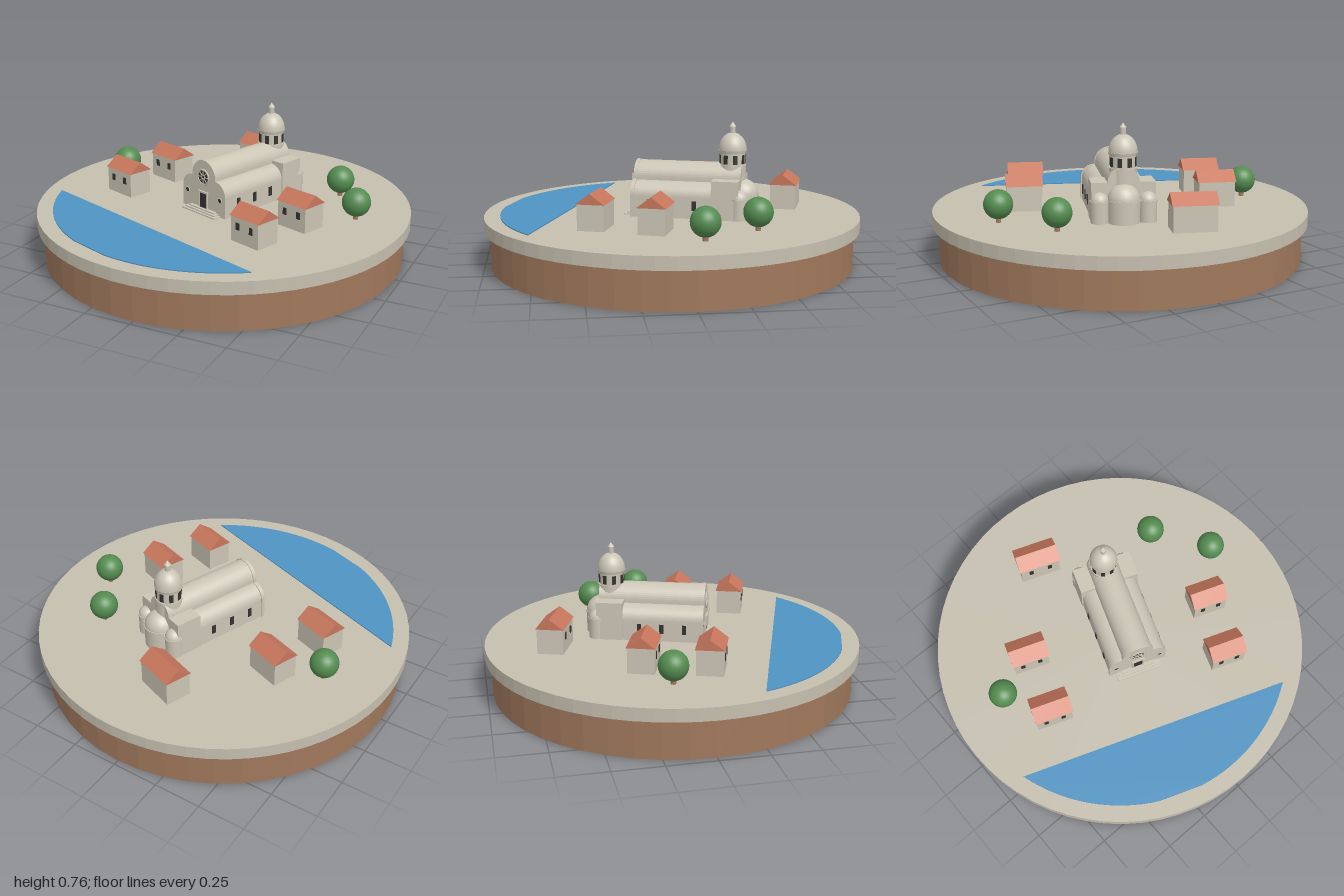
import * as THREE from 'three';

const mat = (name, color, side = THREE.FrontSide) => {
  const m = new THREE.MeshStandardMaterial({ color, side });
  m.name = name;
  return m;
};

export function createModel() {
  const earth = mat('earth', 0xa0785c);
  const ground = mat('paving', 0xc5bfaf);
  const stone = mat('stone', 0xcbc5b5);
  const water = mat('water', 0x4f93c2);
  const tile = mat('roof tile', 0xc8775c);
  const leaf = mat('foliage', 0x548c50);
  const dark = mat('dark opening', 0x34332f);

  const G = 0.267; // ground level
  const model = new THREE.Group();
  model.name = 'islandTown';

  const add = (parent, name, geo, material, x = 0, y = 0, z = 0) => {
    const m = new THREE.Mesh(geo, material);
    m.name = name;
    m.position.set(x, y, z);
    parent.add(m);
    return m;
  };
  const box = (w, h, d) => new THREE.BoxGeometry(w, h, d);
  const cyl = (rt, rb, h, n = 24) => new THREE.CylinderGeometry(rt, rb, h, n);
  const flat = (geo) => {
    const g = geo.toNonIndexed();
    g.computeVertexNormals();
    return g;
  };
  const extrude = (shape, depth) =>
    new THREE.ExtrudeGeometry(shape, { depth, bevelEnabled: false, curveSegments: 12 });

  // Round island
  add(model, 'earthBase', flat(cyl(0.97, 0.97, 0.2, 48)), earth, 0, 0.1, 0);
  add(model, 'groundSlab', flat(cyl(1, 1, G - 0.2, 64)), ground, 0, (G + 0.2) / 2, 0);

  // The whole town is turned on the island
  const town = new THREE.Group();
  town.name = 'town';
  town.rotation.y = -THREE.MathUtils.degToRad(20);
  model.add(town);

  // Lagoon: circle segment made of two arcs
  const pts = [];
  const a0 = Math.asin(0.54 / 0.915), a1 = THREE.MathUtils.degToRad(82.5);
  for (let i = 0; i <= 16; i++) {
    const a = a0 + (a1 - a0) * i / 16;
    pts.push(new THREE.Vector2(0.915 * Math.cos(a), -0.915 * Math.sin(a)));
  }
  for (let i = 16; i >= 0; i--) pts.push(new THREE.Vector2(-pts[i].x, pts[i].y));
  const lagoon = extrude(new THREE.Shape(pts), 0.006);
  lagoon.rotateX(-Math.PI / 2);
  add(town, 'lagoon', lagoon, water, 0, G - 0.001, 0);

  // Church
  const church = new THREE.Group();
  church.name = 'church';
  church.position.x = 0.035;
  town.add(church);

  // Cross-section: round nave between two quarter-round aisles
  const section = (half, r, grow) => {
    const s = new THREE.Shape();
    const aisle = half - r, spring = 0.377 + grow;
    s.moveTo(-half, G);
    s.lineTo(half, G);
    s.lineTo(half, spring);
    s.absarc(r, spring, aisle, 0, Math.PI / 2, false);
    s.lineTo(r, 0.465);
    s.absarc(0, 0.465, r, 0, Math.PI, false);
    s.lineTo(-r, spring + aisle);
    s.absarc(-r, spring, aisle, Math.PI / 2, Math.PI, false);
    s.lineTo(-half, G);
    return s;
  };
  add(church, 'naveAndAisles', extrude(section(0.156, 0.082, 0), 0.555), stone, 0, 0, -0.39);
  add(church, 'facade', extrude(section(0.161, 0.086, 0.003), 0.02), stone, 0, 0, 0.16);
  add(church, 'transept', box(0.326, 0.47 - G, 0.14), stone, 0, (0.47 + G) / 2, -0.32);

  // Entrance steps
  for (let i = 0; i < 3; i++) {
    const d = 0.045 - i * 0.013;
    add(church, 'step', box(0.25 - i * 0.03, 0.007, d), stone, 0, G + 0.0035 + i * 0.007, 0.18 + d / 2);
  }

  // Door with surround
  add(church, 'door', box(0.05, 0.085, 0.006), dark, 0, 0.328, 0.181);
  for (const s of [-1, 1]) add(church, 'doorJamb', box(0.008, 0.092, 0.01), stone, s * 0.029, 0.331, 0.183);
  add(church, 'doorLintel', box(0.074, 0.009, 0.013), stone, 0, 0.376, 0.184);

  // Rose window with spokes, and two small round windows
  const disc = (r) => cyl(r, r, 0.006, 24).rotateX(Math.PI / 2);
  add(church, 'roseWindow', disc(0.04), dark, 0, 0.46, 0.181);
  add(church, 'roseRim', new THREE.TorusGeometry(0.04, 0.005, 6, 28), stone, 0, 0.46, 0.183);
  add(church, 'roseHub', new THREE.TorusGeometry(0.011, 0.003, 6, 16), stone, 0, 0.46, 0.184);
  for (let i = 0; i < 8; i++) {
    const a = i * Math.PI / 4;
    const spoke = add(church, 'roseSpoke', box(0.028, 0.004, 0.006), stone,
      Math.cos(a) * 0.025, 0.46 + Math.sin(a) * 0.025, 0.184);
    spoke.rotation.z = a;
  }
  for (const s of [-1, 1]) {
    add(church, 'roundWindow', disc(0.014), dark, s * 0.123, 0.36, 0.181);
    add(church, 'roundWindowRim', new THREE.TorusGeometry(0.014, 0.003, 6, 18), stone, s * 0.123, 0.36, 0.183);
    // Aisle windows
    for (const z of [0.08, -0.04, -0.16])
      add(church, 'aisleWindow', box(0.008, 0.05, 0.022), dark, s * 0.157, 0.335, z);
  }

  // Apses: half-domed round ends
  const apse = (x, r, wallTop) => {
    add(church, 'apseWall', cyl(r, r, wallTop - G), stone, x, (wallTop + G) / 2, -0.39);
    add(church, 'apseCornice', cyl(r + 0.004, r + 0.004, 0.009), stone, x, wallTop, -0.39);
    add(church, 'apseDome', new THREE.SphereGeometry(r, 24, 8, 0, Math.PI * 2, 0, Math.PI / 2), stone, x, wallTop, -0.39);
  };
  apse(0, 0.083, 0.38);
  for (const s of [-1, 1]) apse(s * 0.122, 0.046, 0.375);

  // Domed crossing tower
  const tower = new THREE.Group();
  tower.name = 'domeTower';
  tower.position.set(-0.004, 0, -0.333);
  church.add(tower);
  add(tower, 'drum', cyl(0.065, 0.065, 0.16), stone, 0, 0.525, 0);
  add(tower, 'drumBase', cyl(0.071, 0.071, 0.09), stone, 0, 0.492, 0);
  add(tower, 'drumCornice', cyl(0.076, 0.072, 0.016), stone, 0, 0.607, 0);
  for (let i = 0; i < 8; i++) {
    const a = (i + 0.5) * Math.PI / 4;
    const w = add(tower, 'drumWindow', box(0.022, 0.046, 0.009), dark, Math.sin(a) * 0.0635, 0.567, Math.cos(a) * 0.0635);
    w.rotation.y = a;
  }
  const dome = new THREE.SphereGeometry(0.074, 28, 10, 0, Math.PI * 2, 0, Math.PI / 2).scale(1, 1.23, 1);
  add(tower, 'dome', dome, stone, 0, 0.614, 0);
  add(tower, 'lantern', cyl(0.015, 0.015, 0.045, 12), stone, 0, 0.716, 0);
  add(tower, 'lanternCap', new THREE.ConeGeometry(0.018, 0.024, 12), stone, 0, 0.75, 0);

  // Houses with gabled tile roofs: x, z on the island, then length
  const house = (x, z, len) => {
    const h = new THREE.Group();
    h.name = 'house';
    h.position.copy(new THREE.Vector3(x, 0, z).applyAxisAngle(new THREE.Vector3(0, 1, 0), -town.rotation.y));
    town.add(h);
    add(h, 'houseWalls', box(len - 0.012, 0.403 - G, 0.136), stone, 0, (0.403 + G) / 2, 0);
    const gable = new THREE.Shape();
    gable.moveTo(-0.074, 0);
    gable.lineTo(0.074, 0);
    gable.lineTo(0, 0.055);
    gable.closePath();
    const roof = extrude(gable, len).translate(0, 0, -len / 2).rotateY(Math.PI / 2);
    add(h, 'houseRoof', roof, tile, 0, 0.4, 0);
    for (const s of [-1, 1])
      add(h, 'houseWindow', box(0.023, 0.036, 0.006), dark, s * len * 0.23, 0.352, 0.0685);
  };
  house(-0.065, -0.637, 0.232);
  house(-0.447, -0.24, 0.206);
  house(-0.547, 0.08, 0.206);
  house(0.5, 0.14, 0.195);
  house(0.373, 0.428, 0.195);

  // Round trees
  for (const [x, z] of [[-0.69, -0.145], [0.535, -0.362], [0.725, -0.07]]) {
    add(model, 'treeTrunk', cyl(0.012, 0.014, 0.05, 8), earth, x, G + 0.025, z);
    add(model, 'treeCrown', new THREE.SphereGeometry(0.075, 24, 16), leaf, x, 0.36, z);
  }
  return model;
}
